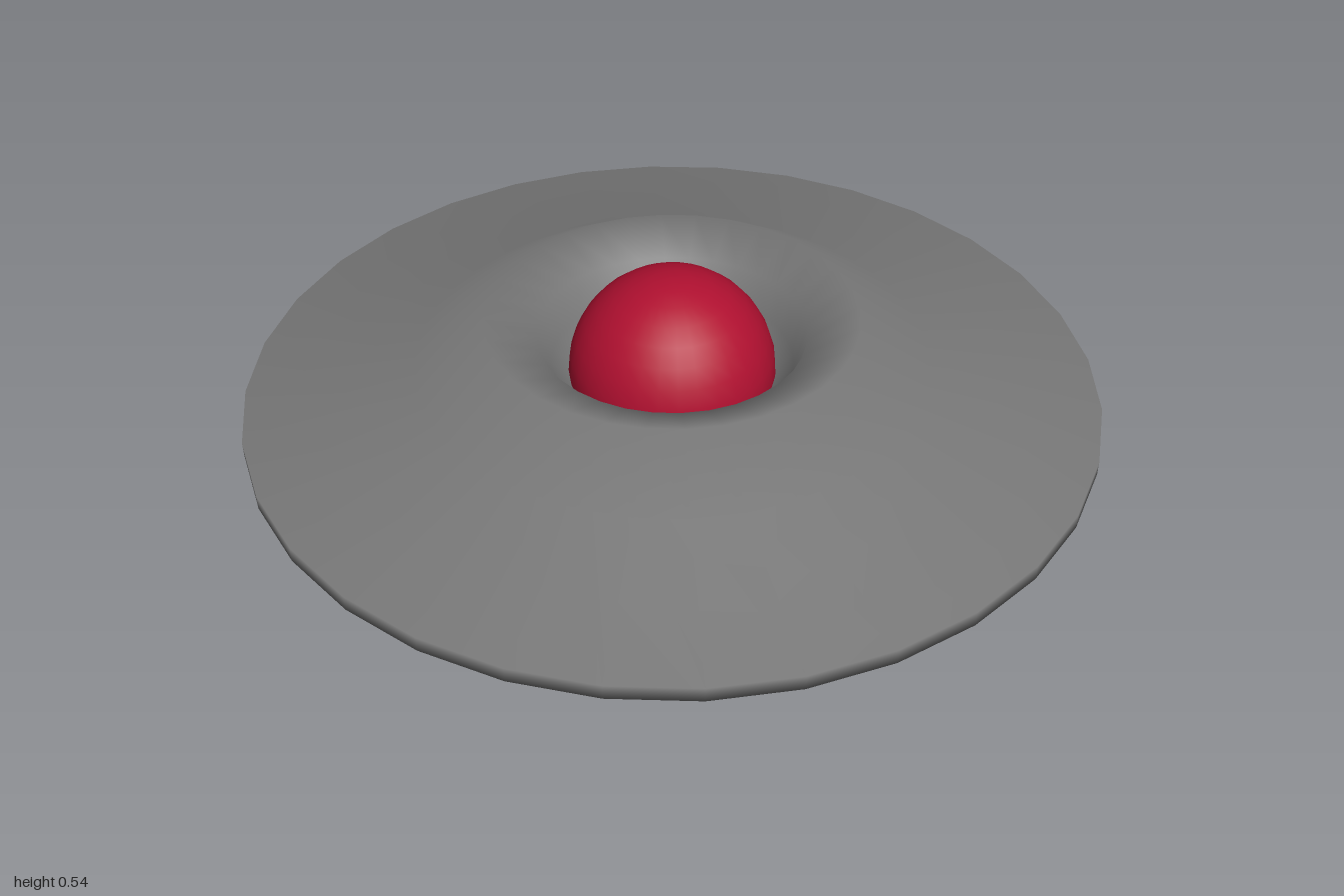
import * as THREE from 'three';

const paint = (color) => new THREE.MeshStandardMaterial({ color, side: THREE.DoubleSide });

function addMesh(group, name, geometry, material, y = 0) {
  const mesh = new THREE.Mesh(geometry, material);
  mesh.name = name;
  mesh.position.y = y;
  group.add(mesh);
}

export function createModel() {
  const group = new THREE.Group();
  group.name = 'flyingSaucer';

  // Saucer hull: one closed ring section, from the lower recess round the rim to the upper crater
  const section = [
    [0.215, 0.19], [0.32, 0.15], [0.4, 0.125],
    [1, 0.235], [1, 0.27],
    [0.6, 0.345], [0.435, 0.45],
    [0.315, 0.4], [0.285, 0.32], [0.235, 0.28],
  ].map(([r, y]) => new THREE.Vector2(r, y));
  addMesh(group, 'hull', new THREE.LatheGeometry(section, 32), paint(0x777777));

  // Red cockpit ball seated in the crater
  addMesh(group, 'cockpit', new THREE.SphereGeometry(0.244, 32, 16), paint(0xb01030), 0.298);

  // Coarse pale ball bulging out underneath
  addMesh(group, 'lowerDome', new THREE.SphereGeometry(0.22, 12, 6), paint(0xcccccc), 0.22);

  return group;
}
